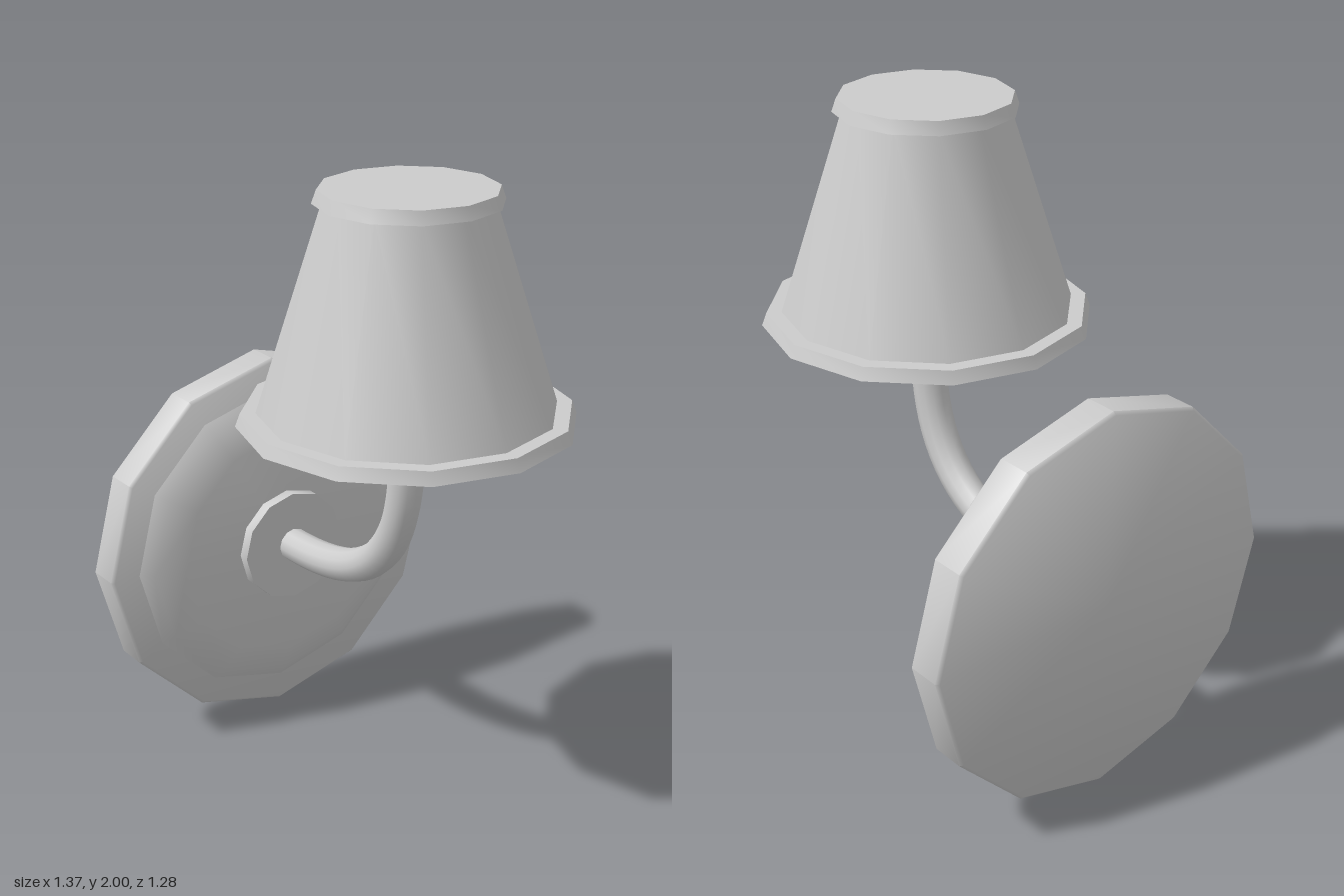
import * as THREE from 'three';
import { toCreasedNormals } from 'three/addons/utils/BufferGeometryUtils.js';

const SIDES = 12;
const PLATE_Y = 0.645;
const LAMP_X = 0.165;

const material = new THREE.MeshStandardMaterial({ color: 0xcccccc });

// Twelve-sided turned solid; profile is [radius, height] from bottom to top.
function turned(name, profile, crease = 0.6) {
  const points = profile.map(([r, h]) => new THREE.Vector2(r, h));
  const geometry = toCreasedNormals(new THREE.LatheGeometry(points, SIDES), crease);
  const mesh = new THREE.Mesh(geometry, material);
  mesh.name = name;
  return mesh;
}

export function createModel() {
  const model = new THREE.Group();
  model.name = 'wallLamp';

  // Wall mount: turned about y, then laid over so its axis points along +x
  const mount = new THREE.Group();
  mount.name = 'wallMount';
  mount.rotation.z = -Math.PI / 2;
  mount.position.y = PLATE_Y;
  mount.add(
    turned('backPlate', [
      [0, -0.685], [0.63, -0.685], [0.64, -0.675], [0.64, -0.57], [0.63, -0.56], [0, -0.56],
    ], 0.85),
    turned('plateDome', [
      [0, -0.565], [0.54, -0.565], [0.54, -0.56], [0.5, -0.53], [0.4, -0.495], [0, -0.495],
    ]),
    turned('armBoss', [[0, -0.5], [0.19, -0.5], [0.19, -0.457], [0, -0.457]]),
  );
  model.add(mount);

  // Arm: one bend from the wall boss up to the lamp holder
  const bend = new THREE.CubicBezierCurve3(
    new THREE.Vector3(-0.47, 0.65, 0),
    new THREE.Vector3(-0.02, 0.65, 0),
    new THREE.Vector3(LAMP_X, 0.82, 0),
    new THREE.Vector3(LAMP_X, 1.2, 0),
  );
  const arm = new THREE.Mesh(new THREE.TubeGeometry(bend, 24, 0.056, SIDES), material);
  arm.name = 'arm';
  model.add(arm);

  // Lamp holder and closed shade with a trim ring at each end
  const lamp = new THREE.Group();
  lamp.name = 'lamp';
  lamp.position.x = LAMP_X;
  lamp.add(
    turned('holderCollar', [[0, 1.19], [0.105, 1.19], [0.105, 1.23], [0, 1.23]]),
    turned('holderCup', [[0, 1.225], [0.205, 1.225], [0.205, 1.3], [0, 1.3]]),
    turned('shadeBottomTrim', [[0, 1.295], [0.515, 1.295], [0.5, 1.335], [0, 1.335]]),
    turned('shade', [[0.455, 1.33], [0.25, 1.965]]),
    turned('shadeTopTrim', [[0, 1.96], [0.28, 1.96], [0.266, 2], [0, 2]]),
  );
  model.add(lamp);

  return model;
}
